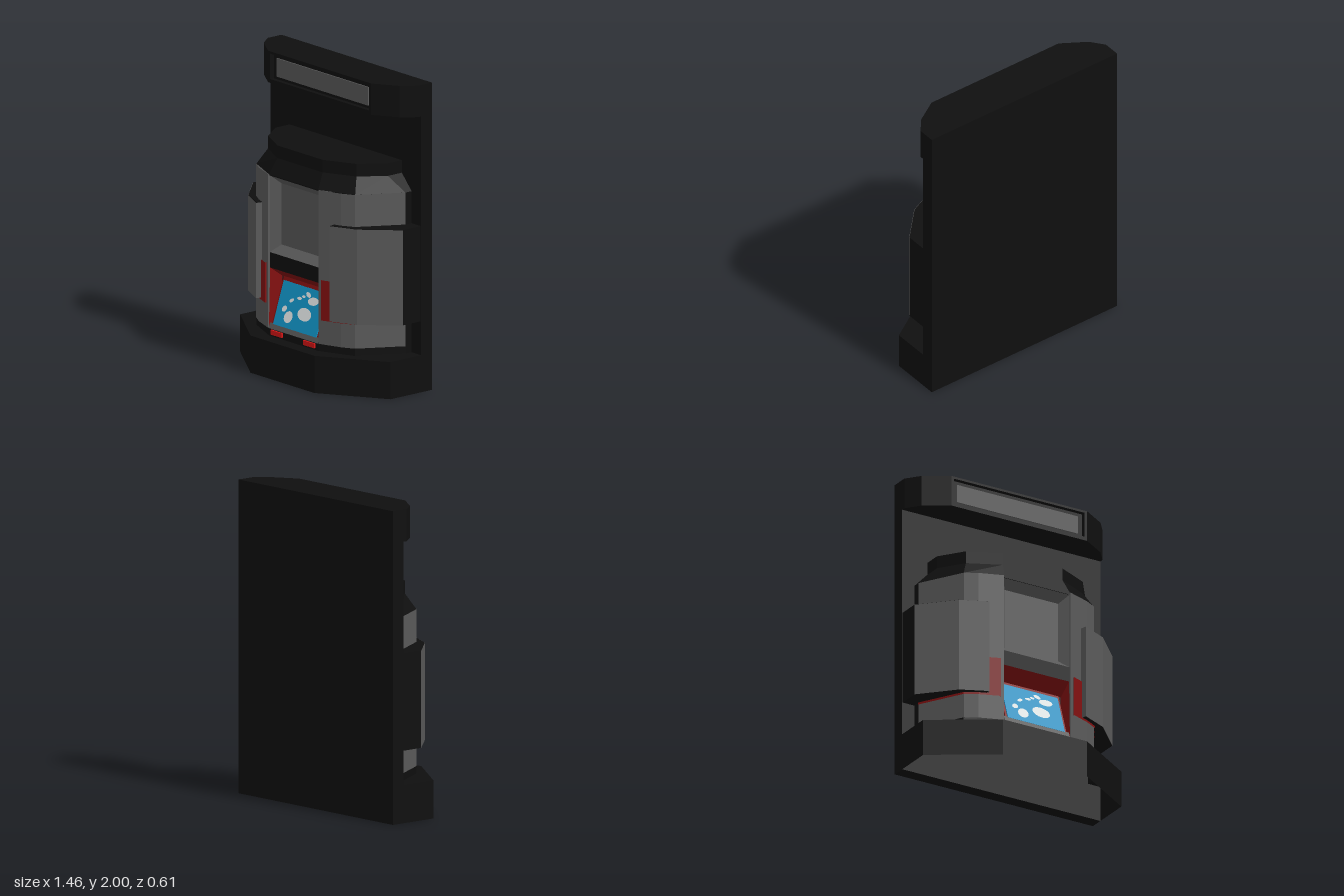
import * as THREE from 'three';

const mat = (name, color) => new THREE.MeshStandardMaterial({ name, color, side: THREE.DoubleSide });

export function createModel() {
  const root = new THREE.Group();
  root.name = 'kiosk';
  const black = mat('black', 0x0f0f0f), grey = mat('grey', 0x5a5a5a);
  const darkRed = mat('dark red', 0x821010), red = mat('bright red', 0xd81616);
  const blue = mat('screen blue', 0x1193c6), white = mat('white', 0xe6ebeb);

  const add = (name, geo, material, parent = root) => {
    const m = new THREE.Mesh(geo, material);
    m.name = name;
    parent.add(m);
    return m;
  };
  // Four-cornered faces, each listed anticlockwise from its front
  const quads = (list) => {
    const v = [];
    for (const [a, b, c, d] of list) v.push(...a, ...b, ...c, ...a, ...c, ...d);
    const g = new THREE.BufferGeometry();
    g.setAttribute('position', new THREE.Float32BufferAttribute(v, 3));
    g.computeVertexNormals();
    return g;
  };
  // Wall between two [x, z] outlines at heights y0 and y1
  const wall = (p, y0, y1, q = p) => quads(p.slice(1).map((b, i) => {
    const a = p[i];
    return [[a[0], y0, a[1]], [b[0], y0, b[1]], [q[i + 1][0], y1, q[i + 1][1]], [q[i][0], y1, q[i][1]]];
  }));
  const flip = (p) => p.map(([x, z]) => [-x, z]).reverse();
  const both = (half) => [...flip(half), ...half];
  const onSide = (s, p) => (s > 0 ? p : flip(p));
  // Flat slab with an [x, z] outline and an optional hole
  const slab = (p, y0, y1, hole) => {
    const toV = (q) => q.map(([x, z]) => new THREE.Vector2(x, -z));
    const shape = new THREE.Shape(toV(p));
    if (hole) shape.holes.push(new THREE.Path(toV(hole)));
    const g = new THREE.ExtrudeGeometry(shape, { depth: y1 - y0, bevelEnabled: false });
    return g.rotateX(-Math.PI / 2).translate(0, y0, 0);
  };
  const box = (w, h, d, x, y, z) => new THREE.BoxGeometry(w, h, d).translate(x, y, z);

  // Back board
  add('backBoard', box(1.46, 2, 0.09, 0, 1, -0.26), black);

  // Canopy with a shallow sign recess
  const canopy = [[0.5, 0], [0.66, -0.1], [0.73, -0.19], [0.73, -0.3]];
  const notched = [[0.48, -0.03], [0.48, 0], ...canopy];
  add('canopyBottom', slab(both(canopy), 1.795, 1.82), black);
  add('canopyMiddle', slab(both(notched), 1.82, 1.985), black);
  add('canopyTop', slab(both(canopy), 1.985, 2), black);
  add('signPanel', box(0.89, 0.12, 0.008, 0, 1.9, -0.025), grey);

  // Hollow base with an open underside
  const base = both([[0.31, 0.305], [0.73, 0.035], [0.73, -0.3]]);
  const body = both([[0.24, 0.213], [0.48, 0.113], [0.64, -0.165], [0.64, -0.215]]);
  const cap = both([[0.22, 0.16], [0.43, 0.06], [0.545, -0.1], [0.545, -0.215]]);
  add('baseWall', wall(base, 0, 0.24), black);
  add('baseTop', slab(base, 0.235, 0.242, body), black);
  add('plinth', wall(body, 0.24, 0.29), black);

  // Sloped cap over the cabinet
  add('capSlope', wall(body, 1.29, 1.39, cap), black);
  add('capWall', wall(cap, 1.39, 1.47), black);
  add('capTop', slab(cap, 1.465, 1.472), black);

  // Columns, doors and red bands on both sides
  const column = [[0.245, 0.1], [0.245, 0.215], [0.4, 0.16], [0.48, 0.115], [0.64, -0.165]];
  const band = [[0.27, 0.2], [0.27, 0.218], [0.4, 0.168], [0.485, 0.12], [0.645, -0.165]];
  const doorFace = [[0.342, 0.175], [0.355, 0.22], [0.53, 0.14], [0.73, -0.07]];
  const doorCore = [[0.35, 0.175], [0.358, 0.215], [0.53, 0.136], [0.728, -0.072],
    [0.728, -0.215], [0.6, -0.215], [0.62, -0.165], [0.47, 0.11]];
  for (const s of [1, -1]) {
    const side = s > 0 ? 'left' : 'right';
    add(side + 'Column', wall(onSide(s, column), 0.29, 1.29), grey);
    add(side + 'ColumnReturn', wall(onSide(s, [[0.64, -0.165], [0.64, -0.215]]), 0.29, 1.29), black);
    add(side + 'Band', wall(onSide(s, band), 0.448, 0.71), darkRed);
    add(side + 'DoorCore', slab(onSide(s, doorCore), 0.462, 1.082), black);
    add(side + 'DoorFace', wall(onSide(s, doorFace), 0.46, 1.08), grey);
    add(side + 'Cheek', quads([[[s * 0.243, 0.29, 0.1], [s * 0.243, 0.29, 0.21],
      [s * 0.243, 0.68, 0.2], [s * 0.243, 0.68, 0.1]]]), darkRed);
    add(side + 'Lamp', box(0.106, 0.03, 0.02, s * 0.158, 0.27, 0.215), red);
  }

  // Bevelled display recess
  const rect = (w, y0, y1, z) => [[-w, y0, z], [w, y0, z], [w, y1, z], [-w, y1, z]];
  const outer = rect(0.245, 0.78, 1.28, 0.2), inner = rect(0.197, 0.83, 1.228, 0.145);
  add('displayBevel', quads(outer.map((a, i) => {
    const j = (i + 1) % 4;
    return [a, outer[j], inner[j], inner[i]];
  })), grey);
  add('displayPanel', quads([inner]), grey);
  add('header', quads([rect(0.245, 1.28, 1.295, 0.205)]), black);
  add('lowerFascia', quads([rect(0.245, 0.68, 0.78, 0.2)]), black);

  // Red hood and grey tray around the sloping screen
  add('hood', quads([[[-0.243, 0.61, 0.1], [0.243, 0.61, 0.1], [0.243, 0.68, 0.2], [-0.243, 0.68, 0.2]]]), darkRed);
  add('tray', quads([[[-0.24, 0.29, 0.216], [0.24, 0.29, 0.216], [0.24, 0.325, 0.203], [-0.24, 0.325, 0.203]]]), grey);

  const screen = new THREE.Group();
  screen.name = 'screen';
  screen.position.set(0, 0.455, 0.158);
  screen.rotation.x = -0.32;
  root.add(screen);
  add('screenFrame', box(0.45, 0.32, 0.006, 0, 0.008, -0.006), darkRed, screen);
  add('screenGlass', box(0.42, 0.285, 0.006, 0, 0, 0), blue, screen);
  // Spots: x, y, radii, tilt
  const spots = [
    [0.055, -0.027, 0.065, 0.042, 0], [0.107, 0.068, 0.051, 0.026, 0.15],
    [-0.085, -0.072, 0.042, 0.036, 0.7], [-0.137, -0.028, 0.024, 0.018, 0.6],
    [0.05, 0.1, 0.026, 0.015, -0.3], [-0.09, 0.035, 0.022, 0.011, 0.5],
    [-0.025, 0.062, 0.022, 0.01, 0.1], [0.01, 0.08, 0.016, 0.009, 0],
  ];
  for (const [x, y, rx, ry, tilt] of spots) {
    const m = add('screenSpot', new THREE.CircleGeometry(1, 20), white, screen);
    m.position.set(x, y, 0.005);
    m.scale.set(rx, ry, 1);
    m.rotation.z = tilt;
  }
  return root;
}
